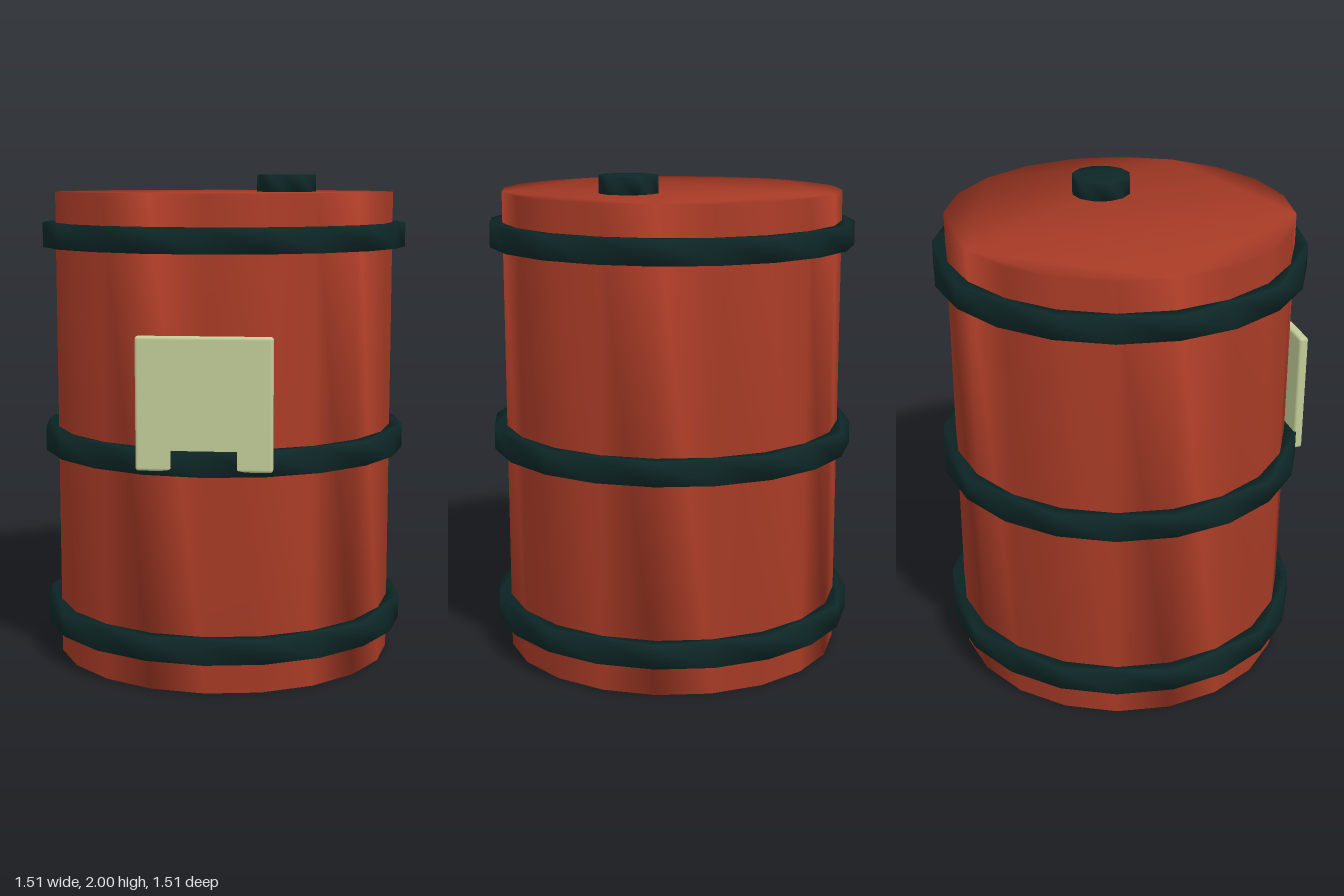
import * as THREE from 'three';
import { mergeVertices } from 'three/addons/utils/BufferGeometryUtils.js';
import { RoundedBoxGeometry } from 'three/addons/geometries/RoundedBoxGeometry.js';

// Points of a regular polygon with a corner on each axis
function polygon(radius, sides) {
  return Array.from({ length: sides }, (_, i) => {
    const a = (i / sides) * Math.PI * 2;
    return new THREE.Vector2(Math.cos(a) * radius, Math.sin(a) * radius);
  });
}

// Upright prism from y = 0 to height, with normals shared across its edges
function softPrism(radius, sides, height, innerRadius = 0) {
  const shape = new THREE.Shape(polygon(radius, sides));
  if (innerRadius) shape.holes.push(new THREE.Path(polygon(innerRadius, sides)));
  const g = new THREE.ExtrudeGeometry(shape, { depth: height, bevelEnabled: false });
  g.rotateX(-Math.PI / 2);
  g.deleteAttribute('uv');
  g.deleteAttribute('normal');
  const merged = mergeVertices(g, 1e-4);
  merged.computeVertexNormals();
  return merged;
}

export function createModel() {
  const red = new THREE.MeshStandardMaterial({ color: 0xa83b26 });
  red.name = 'barrel red';
  const dark = new THREE.MeshStandardMaterial({ color: 0x0e2727 });
  dark.name = 'dark teal';
  const cream = new THREE.MeshStandardMaterial({ color: 0xc2cc98 });
  cream.name = 'label cream';

  const barrel = new THREE.Group();
  barrel.name = 'barrel';
  const add = (name, geometry, material, x, y, z) => {
    const mesh = new THREE.Mesh(geometry, material);
    mesh.name = name;
    mesh.position.set(x, y, z);
    barrel.add(mesh);
  };

  // Drum body
  add('body', softPrism(0.7, 20, 1.93), red, 0, 0, 0);

  // Three hoops around the drum
  const hoop = softPrism(0.753, 20, 0.098, 0.69);
  [['lowerHoop', 0.13], ['middleHoop', 0.868], ['upperHoop', 1.708]]
    .forEach(([name, y]) => add(name, hoop, dark, 0, y, 0));

  // Filler cap on the lid
  add('fillerCap', softPrism(0.122, 12, 0.08), dark, 0.262, 1.92, 0);

  // Front label, with the middle hoop showing through its lower edge
  add('label', new RoundedBoxGeometry(0.525, 0.515, 0.04, 3, 0.012), cream, 0, 1.143, 0.713);

  return barrel;
}
